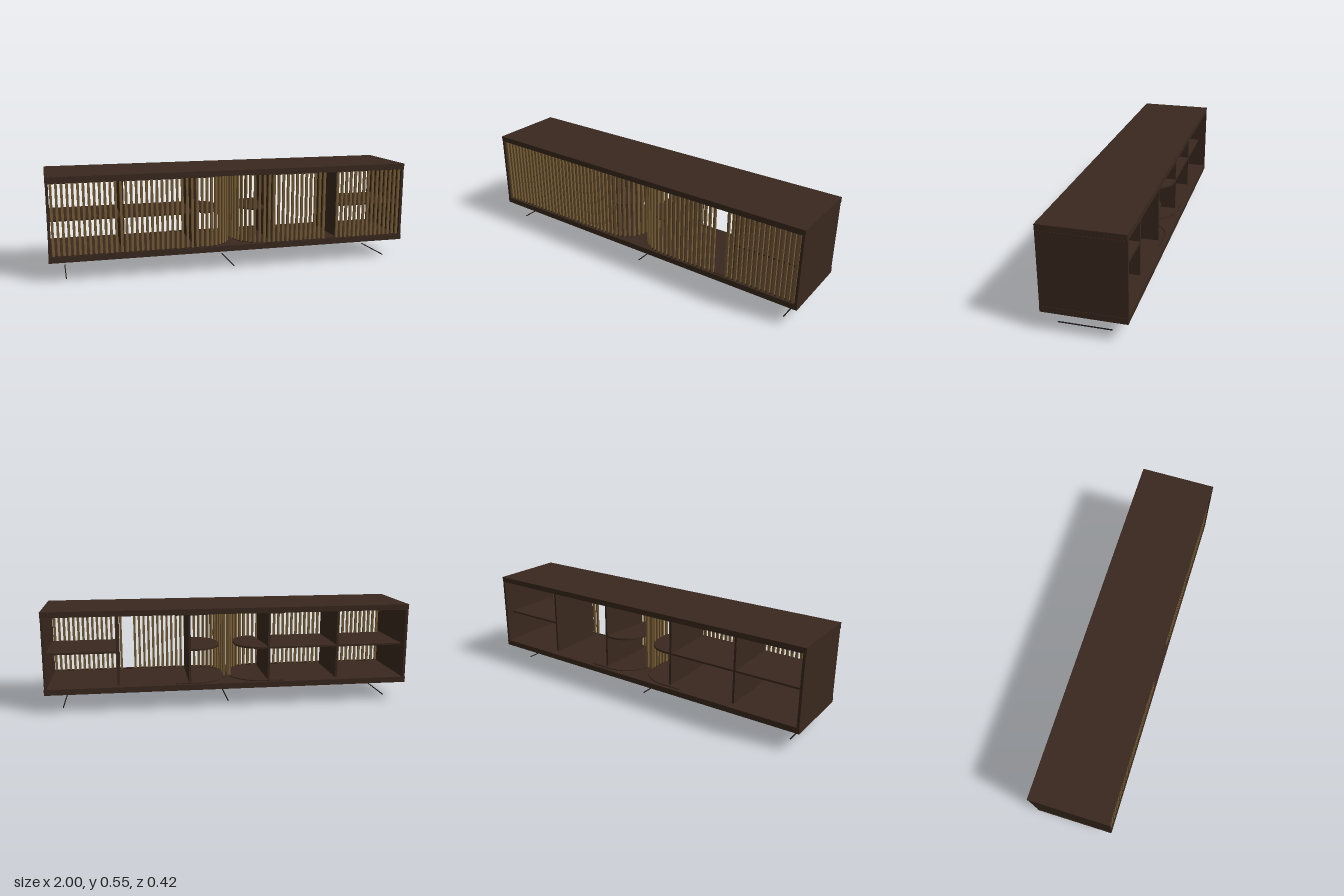
import * as THREE from 'three';

const mat = (name, color) => {
  const m = new THREE.MeshStandardMaterial({ color });
  m.name = name;
  return m;
};

export function createModel() {
  const wood = mat('dark wood', 0x39281e);
  const slatWood = mat('golden slat wood', 0x765c34);
  const metal = mat('blackened metal', 0x1e1715);
  const model = new THREE.Group();
  model.name = 'sideboard';

  const box = (parent, name, material, size, pos, turn = 0) => {
    const mesh = new THREE.Mesh(new THREE.BoxGeometry(...size), material);
    mesh.name = name;
    mesh.position.set(...pos);
    mesh.rotation.y = turn;
    parent.add(mesh);
  };

  // Top and bottom slabs
  box(model, 'top', wood, [2, 0.03, 0.424], [0, 0.534, 0]);
  box(model, 'bottom', wood, [2, 0.031, 0.424], [0, 0.1185, 0]);

  // Door track in plan: along the front, round into the centre, out along the back
  const track = new THREE.Path();
  const R = 0.17, inner = 0.013, front = 0.2, back = -0.19;
  track.moveTo(0.985, front);
  track.lineTo(inner + R, front);
  track.absarc(inner + R, front - R, R, Math.PI / 2, Math.PI, false);
  track.lineTo(inner, back + R);
  track.absarc(inner + R, back + R, R, Math.PI, Math.PI * 1.5, false);
  track.lineTo(0.3, back);
  const length = track.getLength();
  const railPoints = track.getSpacedPoints(70);

  // Half shelf beside the centre, rounded where the doors turn
  const shelfShape = new THREE.Shape();
  shelfShape.moveTo(0.22, 0.165);
  shelfShape.absarc(0.185, 0.025, 0.14, Math.PI / 2, Math.PI, false);
  shelfShape.absarc(0.185, -0.025, 0.14, Math.PI, Math.PI * 1.5, false);
  shelfShape.lineTo(0.22, -0.165);
  shelfShape.closePath();
  const shelfGeometry = new THREE.ExtrudeGeometry(shelfShape, { depth: 0.01, bevelEnabled: false, curveSegments: 12 });
  shelfGeometry.rotateX(Math.PI / 2);

  for (const side of [1, -1]) {
    const half = new THREE.Group();
    half.name = side > 0 ? 'leftHalf' : 'rightHalf';
    half.scale.x = side;
    model.add(half);

    // Carcass
    box(half, 'sidePanel', wood, [0.014, 0.383, 0.424], [0.991, 0.3255, 0]);
    for (const x of [0.22, 0.61]) box(half, 'divider', wood, [0.012, 0.385, 0.33], [x, 0.3265, 0]);
    box(half, 'outerShelf', wood, [0.37, 0.01, 0.33], [0.8, 0.316, 0]);
    // One tall bay is left without a shelf
    if (side < 0) box(half, 'innerShelf', wood, [0.38, 0.01, 0.33], [0.415, 0.316, 0]);
    const shelf = new THREE.Mesh(shelfGeometry, wood);
    shelf.name = 'roundedShelf';
    shelf.position.y = 0.321;
    half.add(shelf);

    // Guide rails at floor and ceiling
    for (const y of [0.137, 0.516]) {
      const curve = new THREE.CatmullRomCurve3(railPoints.map(p => new THREE.Vector3(p.x, y, p.y)));
      const rail = new THREE.Mesh(new THREE.TubeGeometry(curve, 90, 0.004, 5), wood);
      rail.name = 'doorRail';
      half.add(rail);
    }

    // Tambour slats
    const door = new THREE.Group();
    door.name = 'tambourDoor';
    half.add(door);
    for (let d = 0.012; d < 1.16; d += 0.027) {
      const p = track.getPointAt(d / length);
      if (side > 0 && p.x > 0.515 && p.x < 0.59) continue;
      const t = track.getTangentAt(d / length);
      box(door, 'slat', slatWood, [0.013, 0.378, 0.012], [p.x, 0.326, p.y], Math.atan2(-t.y, t.x));
    }
  }

  // Slim mounting plates and floor runners
  for (const x of [-0.915, 0, 0.915]) {
    box(model, 'mountingPlate', metal, [0.008, 0.006, 0.22], [x, 0.098, 0.01]);
    box(model, 'floorRunner', metal, [0.005, 0.004, 0.27], [x, 0.002, 0.025]);
  }
  return model;
}
